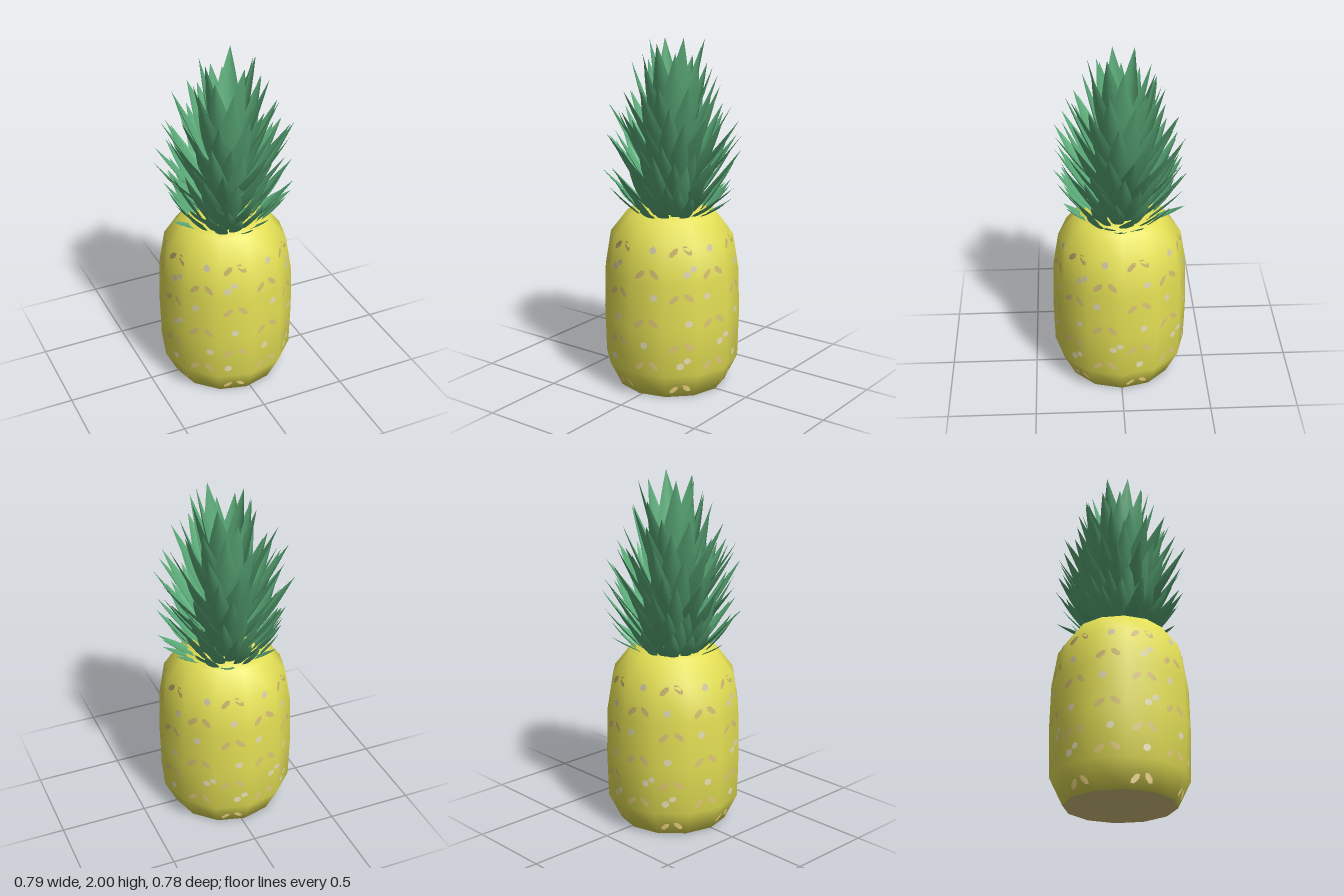
import * as THREE from 'three';
import { mergeGeometries } from 'three/addons/utils/BufferGeometryUtils.js';

const SIDES = 12;
const PROFILE = [[0, 0], [0.31, 0], [0.383, 0.15], [0.39, 0.42], [0.383, 0.68], [0.35, 0.88], [0.25, 1.01], [0.15, 1.035], [0, 1.04]];

// Crown rows from outermost to innermost: base radius, base y, tip radius, tip y, half width
const ROWS = [
  [0.20, 1.00, 0.35, 1.13, 0.036],
  [0.17, 1.02, 0.36, 1.25, 0.042],
  [0.14, 1.05, 0.36, 1.37, 0.048],
  [0.11, 1.10, 0.36, 1.48, 0.054],
  [0.09, 1.15, 0.34, 1.58, 0.060],
  [0.065, 1.22, 0.30, 1.69, 0.067],
  [0.04, 1.30, 0.23, 1.83, 0.074],
  [0.015, 1.38, 0.15, 2.00, 0.080],
];

function seeded(seed) {
  return () => {
    seed = (seed * 16807) % 2147483647;
    return seed / 2147483647;
  };
}

function sampleRow(u) {
  const k = Math.min(Math.floor(u), ROWS.length - 2);
  return ROWS[k].map((v, j) => v + (ROWS[k + 1][j] - v) * (u - k));
}

// Pointed, cupped leaf leaning outwards along +z
function leafGeometry([r0, y0, r1, y1, half]) {
  const widths = [0.6, 0.85, 1, 0.97, 0.82, 0.58, 0.3, 0];
  const n = widths.length - 1;
  const across = [-1, -0.5, 0, 0.5, 1];
  const pos = [], index = [];
  widths.forEach((w, i) => {
    const s = i / n;
    const bow = 0.012 * Math.sin(Math.PI * s);
    for (const a of across) {
      pos.push(a * w * half,
        y0 + (y1 - y0) * s,
        r0 + (r1 - r0) * s + bow - a * a * w * half * 0.3);
    }
  });
  const c = across.length;
  for (let i = 0; i < n; i++) {
    for (let j = 0; j < c - 1; j++) {
      const a = i * c + j;
      index.push(a, a + 1, a + c);
      if (i < n - 1) index.push(a + 1, a + c + 1, a + c);
    }
  }
  const g = new THREE.BufferGeometry();
  g.setAttribute('position', new THREE.Float32BufferAttribute(pos, 3));
  g.setIndex(index);
  g.computeVertexNormals();
  return g;
}

function bodyRadius(y) {
  const k = PROFILE.findIndex(p => p[1] >= y && p[1] > 0);
  const [ra, ya] = PROFILE[k - 1], [rb, yb] = PROFILE[k];
  return ra + (rb - ra) * (y - ya) / (yb - ya);
}

// Point on a flat panel of the fruit, lifted slightly off the skin
function skinPoint(panel, u, y) {
  const step = Math.PI * 2 / SIDES;
  const a = panel * step, b = a + step, r = bodyRadius(y) + 0.003;
  return [
    r * (Math.sin(a) * (1 - u) + Math.sin(b) * u), y,
    r * (Math.cos(a) * (1 - u) + Math.cos(b) * u)];
}

// Small six-sided fleck lying on a panel
function fleckGeometry(panel, u, y, w, h, tilt) {
  const pos = [], nor = [];
  const ring = [];
  for (let i = 0; i < 6; i++) {
    const t = i * Math.PI / 3;
    const dx = Math.cos(t) * w, dy = Math.sin(t) * h;
    const x = dx * Math.cos(tilt) - dy * Math.sin(tilt);
    const v = dx * Math.sin(tilt) + dy * Math.cos(tilt);
    ring.push(skinPoint(panel, u + x / 0.2, y + v));
  }
  for (let i = 1; i < 5; i++) {
    for (const p of [ring[0], ring[i], ring[i + 1]]) {
      const d = Math.hypot(p[0], p[2]);
      pos.push(...p);
      nor.push(p[0] / d, 0, p[2] / d);
    }
  }
  const g = new THREE.BufferGeometry();
  g.setAttribute('position', new THREE.Float32BufferAttribute(pos, 3));
  g.setAttribute('normal', new THREE.Float32BufferAttribute(nor, 3));
  return g;
}

export function createModel() {
  const mat = (name, color) => {
    const m = new THREE.MeshStandardMaterial({ color });
    m.name = name;
    return m;
  };
  const skin = mat('yellow skin', 0xe2de54);
  const pale = mat('pale fleck', 0xe6dfba);
  const tan = mat('tan fleck', 0xdec678);
  const under = mat('tan underside', 0xd2c07c);
  const green = mat('leaf green', 0x5bac79);
  green.side = THREE.DoubleSide;

  const model = new THREE.Group();
  model.name = 'pineapple';
  const add = (name, geometry, material) => {
    const mesh = new THREE.Mesh(geometry, material);
    mesh.name = name;
    model.add(mesh);
  };

  // Fruit, with the bottom ring of faces in its own colour
  const body = new THREE.LatheGeometry(PROFILE.map(p => new THREE.Vector2(...p)), SIDES);
  const perSide = 6 * (PROFILE.length - 1);
  for (let i = 0; i < SIDES; i++) {
    body.addGroup(i * perSide, 6, 1);
    body.addGroup(i * perSide + 6, perSide - 6, 0);
  }
  add('fruitBody', body, [skin, under]);

  // Flecks in staggered rows around the skin
  const rand = seeded(41);
  const paleFlecks = [], tanFlecks = [];
  [0.06, 0.21, 0.325, 0.46, 0.61, 0.74, 0.87].forEach((y, row) => {
    for (let p = 0; p < SIDES; p++) {
      const u = 0.25 + 0.5 * rand();
      if ((p + row) % 2) {
        tanFlecks.push(fleckGeometry(p, 0.28, y - 0.008, 0.036, 0.017, 0.7));
        tanFlecks.push(fleckGeometry(p, 0.7, y, 0.036, 0.017, -0.7));
      } else if (row > 0) {
        paleFlecks.push(fleckGeometry(p, u, y, 0.023, 0.021, 0.4));
        if (rand() < 0.25) paleFlecks.push(fleckGeometry(p, u + 0.2, y + 0.03, 0.022, 0.018, 0.4));
      }
    }
  });
  add('paleFlecks', mergeGeometries(paleFlecks), pale);
  add('tanFlecks', mergeGeometries(tanFlecks), tan);

  // Stem hidden in the heart of the crown
  add('crownStem', new THREE.ConeGeometry(0.13, 0.5, 10, 1, true).translate(0, 1.25, 0), green);

  // Crown of leaves in a spiral, outermost first
  const crown = new THREE.Group();
  crown.name = 'crown';
  model.add(crown);
  const count = 116;
  for (let i = 0; i < count; i++) {
    const t = i / (count - 1);
    const row = sampleRow((ROWS.length - 1) * Math.pow(t, 1.4));
    if (i < count - 1) {
      row[2] += (rand() - 0.5) * 0.08;
      row[3] += (rand() - 0.5) * 0.1;
      row[3] = Math.min(row[3], 1.97);
    }
    const leaf = new THREE.Mesh(leafGeometry(row), green);
    leaf.name = 'leaf';
    leaf.rotation.y = 1.08 - (count - 1 - i) * 2.39996;
    crown.add(leaf);
  }

  model.position.x = -0.02;
  const root = new THREE.Group();
  root.name = 'model';
  root.add(model);
  return root;
}
